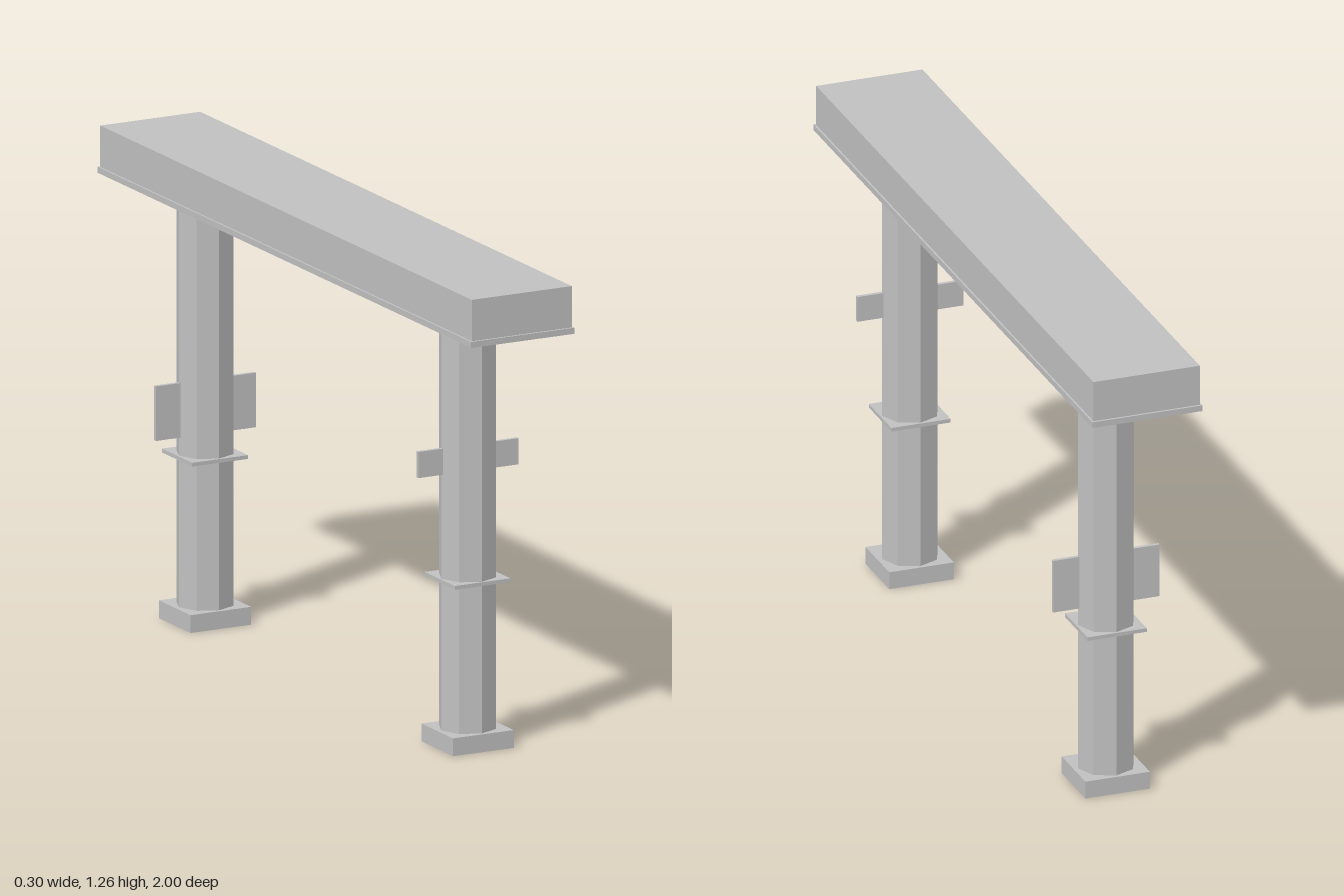
import * as THREE from 'three';

export function createModel() {
  const model = new THREE.Group();
  model.name = 'signGantry';
  const concrete = new THREE.MeshStandardMaterial({ color: 0xc0c0c0 });
  concrete.name = 'concrete grey';
  concrete.flatShading = true;

  // Box given by its width, depth and vertical extent
  function slab(parent, name, width, depth, y0, y1, x = 0, z = 0) {
    const mesh = new THREE.Mesh(new THREE.BoxGeometry(width, y1 - y0, depth), concrete);
    mesh.name = name;
    mesh.position.set(x, (y0 + y1) / 2, z);
    parent.add(mesh);
  }

  // Octagonal column with footing, square collar and a pair of side plates
  function column(name, z, plateBottom, plateTop) {
    const group = new THREE.Group();
    group.name = name;
    group.position.z = z;
    const shaft = new THREE.Mesh(new THREE.CylinderGeometry(0.076, 0.076, 1.09, 8), concrete);
    shaft.name = 'shaft';
    shaft.position.y = 0.045 + 1.09 / 2;
    group.add(shaft);
    slab(group, 'footing', 0.176, 0.17, 0, 0.047);
    slab(group, 'collar', 0.162, 0.162, 0.437, 0.447);
    for (const side of [1, -1]) {
      slab(group, side > 0 ? 'leftPlate' : 'rightPlate', 0.085, 0.01, plateBottom, plateTop, side * 0.1025);
    }
    model.add(group);
  }

  column('frontColumn', 0.704, 0.722, 0.791);
  column('backColumn', -0.701, 0.495, 0.639);

  // Crossbeam on a slightly wider lip
  slab(model, 'beamLip', 0.3, 2, 1.133, 1.149);
  slab(model, 'beam', 0.29, 1.988, 1.149, 1.258);

  return model;
}
